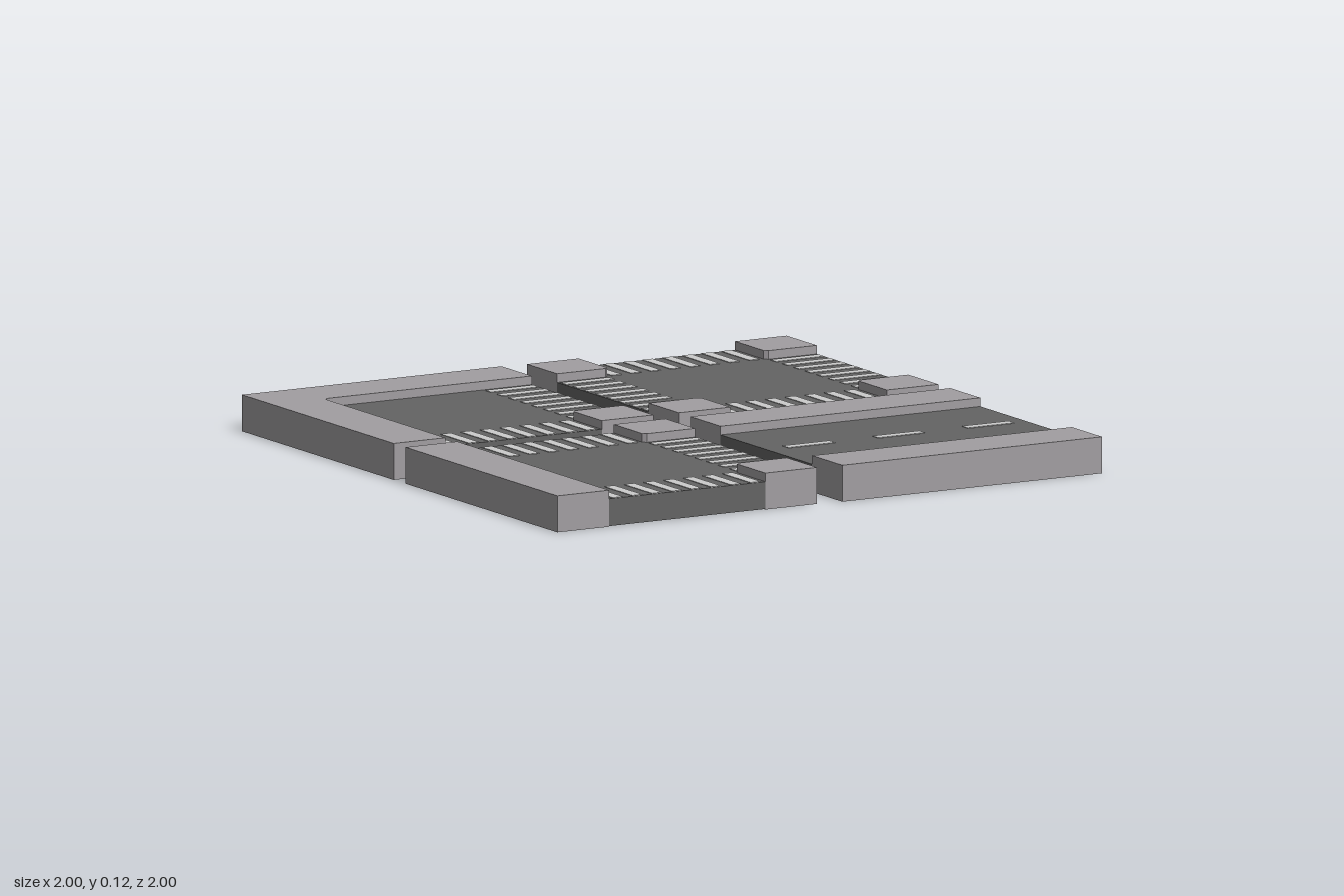
import * as THREE from 'three';

const S = 0.478;      // half tile
const R = 0.288;      // half road width
const C = 0.012;      // small cut on kerb corners
const KERB = 0.118, ROAD = 0.09;

const mat = (name, color) => {
  const m = new THREE.MeshStandardMaterial({ color });
  m.name = name;
  return m;
};

// rotate a ground point [x, z] by k quarter turns
const turn = ([x, z], k) => {
  for (let i = 0; i < k; i++) [x, z] = [-z, x];
  return [x, z];
};

// upright prism over a ground outline
function prism(points, y0, y1) {
  const shape = new THREE.Shape(points.map(([x, z]) => new THREE.Vector2(x, -z)));
  const geo = new THREE.ExtrudeGeometry(shape, { depth: y1 - y0, bevelEnabled: false });
  return geo.rotateX(-Math.PI / 2).translate(0, y0, 0);
}

export function createModel() {
  const pavement = mat('pavement grey', 0xa19ea1);
  const asphalt = mat('asphalt grey', 0x646464);
  const paint = mat('road paint', 0xcbcbcb);
  const model = new THREE.Group();
  model.name = 'roadTiles';

  const add = (group, name, geo, material) => {
    const mesh = new THREE.Mesh(geo, material);
    mesh.name = name;
    group.add(mesh);
    return mesh;
  };

  // open: which sides the road leaves by, in the order +x, +z, -x, -z
  function tile(name, x, z, open, dashed = false) {
    const g = new THREE.Group();
    g.name = name;
    g.position.set(x, 0, z);
    const outline = [];

    for (let k = 0; k < 4; k++) {
      const here = open[k], next = open[(k + 1) % 4], prev = open[(k + 3) % 4];
      const put = (...pts) => pts.map((p) => turn(p, k));

      // road outline along this side
      if (here) {
        if (prev) outline.push(...put([R + C, -R]));
        outline.push(...put([S, -R], [S, R]));
        if (next) outline.push(...put([R + C, R]));
      } else {
        outline.push(...put([R, prev ? -R : -R + C], [R, next ? R : R - C]));
      }

      // pavements: corner block, straight strip or L-shaped bend
      if (here && next) {
        add(g, 'cornerPavement', prism(put([R + C, R], [S, R], [S, S], [R, S], [R, R + C]), 0, KERB), pavement);
      } else if (!here && !next) {
        add(g, 'bendPavement', prism(put([S, -S], [S, S], [-S, S], [-S, R], [R - C, R], [R, R - C], [R, -S]), 0, KERB), pavement);
      }
      if (!here && next && prev) {
        add(g, 'sidePavement', prism(put([R, -S], [S, -S], [S, S], [R, S]), 0, KERB), pavement);
      }

      // zebra crossing on this exit
      if (here && !dashed) {
        const zebra = new THREE.Group();
        zebra.name = 'crossing';
        zebra.rotation.y = -k * Math.PI / 2;
        for (let i = 0; i < 8; i++) {
          add(zebra, 'stripe', new THREE.BoxGeometry(0.177, 0.004, 0.037), paint)
            .position.set(0.386, ROAD, (i - 3.5) * 0.0725);
        }
        g.add(zebra);
      }
    }

    add(g, 'road', prism(outline, 0.002, ROAD), asphalt);
    add(g, 'underside', new THREE.PlaneGeometry(2 * S, 2 * S).rotateX(Math.PI / 2), pavement);

    // centre line
    if (dashed) {
      for (const i of [-1, 0, 1]) {
        add(g, 'centreDash', new THREE.BoxGeometry(0.172, 0.004, 0.037), paint)
          .position.set(i * 0.33 + 0.011, ROAD, -0.004);
      }
    }
    model.add(g);
  }

  tile('bendTile', -0.522, -0.522, [true, true, false, false]);
  tile('crossroadsTile', 0.522, -0.513, [true, true, true, true]);
  tile('junctionTile', -0.522, 0.508, [true, true, false, true]);
  tile('straightTile', 0.522, 0.517, [true, false, true, false], true);
  return model;
}
